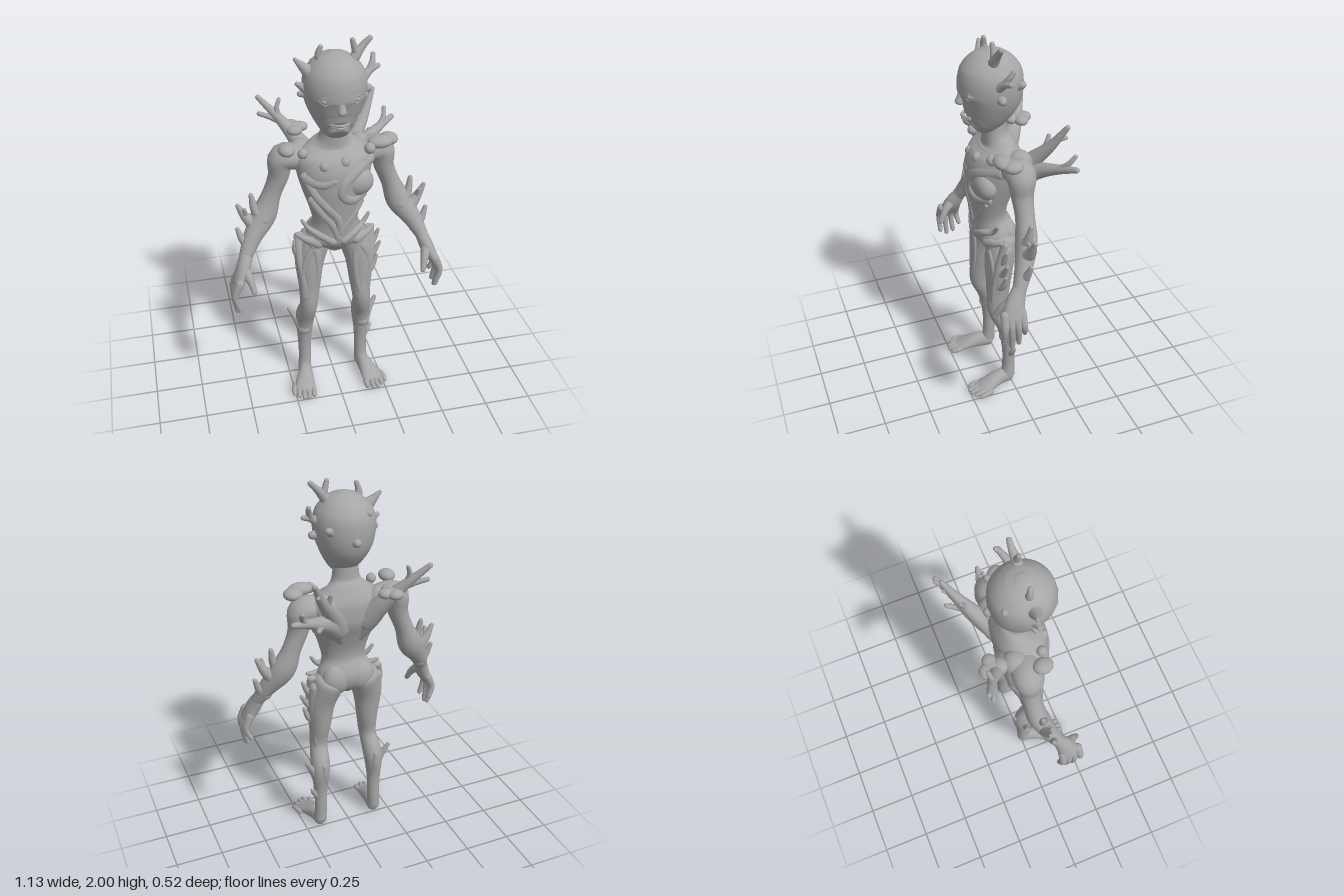
import * as THREE from 'three';

const bark = new THREE.MeshStandardMaterial({ color: 0xa6a6a6 });
bark.name = 'grey bark';
const Y = new THREE.Vector3(0, 1, 0), Z = new THREE.Vector3(0, 0, 1);

// Smooth round-ended limb through sections [x, y, z, radiusA, radiusB]
function limb(name, pts, cap = 1, sides = 20) {
  const path = new THREE.CatmullRomCurve3(pts.map(p => new THREE.Vector3(p[0], p[1], p[2])));
  const size = new THREE.CatmullRomCurve3(pts.map(p => new THREE.Vector3(p[3], p[4] ?? p[3], 0)), false, 'catmullrom', 0.5);
  const chord = path.getPoint(1).sub(path.getPoint(0)).normalize();
  const ref = Math.abs(chord.z) < 0.75 ? Z : Y;
  const pos = [], index = [];
  const ring = (t, shift, scale) => {
    const T = path.getTangent(t), r = size.getPoint(t);
    const a = Math.max(r.x, 0.002), b = Math.max(r.y, 0.002);
    const S = T.clone().cross(ref).normalize(), N = S.clone().cross(T);
    const c = path.getPoint(t).addScaledVector(T, shift * Math.min(a, b) * cap);
    for (let j = 0; j < sides; j++) {
      const u = j / sides * Math.PI * 2;
      const v = c.clone().addScaledVector(S, a * scale * Math.cos(u)).addScaledVector(N, b * scale * Math.sin(u));
      pos.push(v.x, v.y, v.z);
    }
  };
  const steps = (pts.length - 1) * 5;
  for (let k = 0; k < 5; k++) ring(0, -Math.cos(k * Math.PI / 10), Math.sin(k * Math.PI / 10));
  for (let i = 0; i <= steps; i++) ring(i / steps, 0, 1);
  for (let k = 4; k >= 0; k--) ring(1, Math.cos(k * Math.PI / 10), Math.sin(k * Math.PI / 10));
  const rows = pos.length / 3 / sides;
  for (let i = 0; i < rows - 1; i++) for (let j = 0; j < sides; j++) {
    const a = i * sides + j, b = i * sides + (j + 1) % sides;
    index.push(a, a + sides, b, b, a + sides, b + sides);
  }
  const g = new THREE.BufferGeometry();
  g.setAttribute('position', new THREE.Float32BufferAttribute(pos, 3));
  g.setIndex(index);
  g.computeVertexNormals();
  const m = new THREE.Mesh(g, bark);
  m.name = name;
  return m;
}

// Tapered twig through plain points, optionally flattened
const twig = (name, pts, r0, r1, flat = 1) => limb(name, pts.map((p, i) => {
  const r = r1 + (r0 - r1) * (1 - i / (pts.length - 1)) ** 1.3;
  return [...p, r, r * flat];
}), 1, 12);

function knob(name, x, y, z, rx, ry = rx, rz = rx) {
  const m = new THREE.Mesh(new THREE.SphereGeometry(1, 18, 12), bark);
  m.position.set(x, y, z);
  m.scale.set(rx, ry, rz);
  m.name = name;
  return m;
}

// Front depth of a lofted table at x, y
function frontZ(table, x, y) {
  const t = table[0][1] < table[table.length - 1][1] ? table : [...table].reverse();
  let i = 0;
  while (i < t.length - 2 && t[i + 1][1] < y) i++;
  const f = THREE.MathUtils.clamp((y - t[i][1]) / (t[i + 1][1] - t[i][1]), 0, 1);
  const [cx, , cz, rx, rz] = t[i].map((v, k) => v + (t[i + 1][k] - v) * f);
  const d = Math.min(Math.abs(x - cx) / rx, 0.97);
  return cz + rz * Math.sqrt(1 - d * d);
}

const torso = [
  [0, 0.87, 0.045, 0.05, 0.06], [0, 0.91, 0.045, 0.135, 0.09], [0, 0.96, 0.05, 0.152, 0.105], [0, 1.04, 0.067, 0.118, 0.09],
  [0, 1.12, 0.07, 0.132, 0.096], [0, 1.22, 0.06, 0.164, 0.118], [0, 1.32, 0.04, 0.19, 0.135], [0, 1.4, 0.02, 0.195, 0.115],
  [0, 1.45, 0.02, 0.13, 0.085], [0, 1.49, 0.03, 0.077, 0.064], [0, 1.56, 0.035, 0.064, 0.062], [0, 1.64, 0.045, 0.064, 0.067]];
const head = [
  [0, 1.55, 0.137, 0.048, 0.048], [0, 1.57, 0.115, 0.076, 0.083], [0, 1.62, 0.083, 0.111, 0.119], [0, 1.7, 0.057, 0.145, 0.154],
  [0, 1.78, 0.052, 0.155, 0.158], [0, 1.84, 0.052, 0.142, 0.146], [0, 1.885, 0.052, 0.11, 0.113], [0, 1.915, 0.052, 0.07, 0.072],
  [0, 1.928, 0.052, 0.03, 0.031]];
const leg = s => [
  [s * 0.095, 0.92, 0.03, 0.083, 0.086], [s * 0.13, 0.8, 0.052, 0.076, 0.07], [s * 0.137, 0.65, 0.064, 0.058, 0.06],
  [s * 0.146, 0.52, 0.073, 0.047, 0.053], [s * 0.157, 0.4, 0.02, 0.052, 0.058], [s * 0.161, 0.25, 0.014, 0.038, 0.037],
  [s * 0.161, 0.12, 0.014, 0.034, 0.035], [s * 0.165, 0.05, 0.02, 0.036, 0.04]];

export function createModel() {
  const model = new THREE.Group();
  model.name = 'tree creature';
  const add = (...m) => model.add(...m);
  // Flattened root lying on the front of a lofted part
  const root = (name, table, pts, r0, r1) =>
    add(twig(name, pts.map(([x, y]) => [x, y, frontZ(table, x, y) - 0.005]), r0 * 1.2, r1 * 1.2, 0.6));

  add(limb('torso', torso, 0.4, 36), limb('head', head, 0.15, 40));

  // Face
  add(limb('nose', [[0, 1.76, 0.193, 0.016, 0.01], [0, 1.72, 0.2, 0.018, 0.016], [0, 1.69, 0.206, 0.022, 0.024]], 0.7));
  add(limb('upperLip', [[-0.046, 1.615, 0.169, 0.005], [0, 1.618, 0.197, 0.007], [0.046, 1.615, 0.169, 0.005]]));
  add(limb('lowerLip', [[-0.04, 1.606, 0.169, 0.005], [0, 1.602, 0.193, 0.007], [0.04, 1.606, 0.169, 0.005]]));

  for (const s of [-1, 1]) {
    const side = s > 0 ? 'left' : 'right';
    const part = n => side + n;
    const at = pts => pts.map(p => [s * p[0], ...p.slice(1)]);

    // Eye with lids
    add(knob(part('Eye'), s * 0.074, 1.743, 0.178, 0.02, 0.015, 0.017));
    for (const d of [-1, 1]) add(twig(part('Eyelid'), at([[0.048, 1.742, 0.194], [0.074, 1.743 + d * 0.018, 0.187], [0.1, 1.744, 0.168]]), 0.006, 0.006));

    // Arm, palm, fingers
    add(limb(part('Arm'), at([[0.15, 1.375, -0.003, 0.06, 0.075], [0.25, 1.38, -0.01, 0.067, 0.075], [0.272, 1.28, -0.01, 0.052, 0.056],
      [0.31, 1.18, -0.01, 0.048, 0.048], [0.355, 1.07, 0.0, 0.065, 0.054], [0.425, 0.965, 0.04, 0.048, 0.044], [0.472, 0.875, 0.08, 0.033, 0.034]])));
    add(limb(part('Palm'), at([[0.465, 0.89, 0.075, 0.033, 0.034], [0.492, 0.82, 0.108, 0.036, 0.05], [0.522, 0.76, 0.125, 0.028, 0.056]])));
    const tips = [[0.525, 0.655, 0.068], [0.533, 0.608, 0.102], [0.535, 0.595, 0.14], [0.525, 0.625, 0.18]];
    tips.forEach((t, i) => {
      const z = 0.083 + i * 0.029;
      add(twig(part('Finger'), at([[0.517, 0.78, z], [0.545, 0.71, (z + t[2]) / 2 + 0.003], t]), 0.024, 0.013));
    });
    add(twig(part('Thumb'), at([[0.485, 0.835, 0.115], [0.462, 0.79, 0.165], [0.447, 0.735, 0.195]]), 0.03, 0.014));

    // Forearm thorns
    add(twig(part('ArmThorn'), at([[0.36, 1.06, 0.02], [0.4, 1.11, 0.01], [0.415, 1.19, 0.0]]), 0.04, 0.012));
    add(twig(part('ArmThorn'), at([[0.39, 1.01, 0.02], [0.45, 1.075, 0.01], [0.487, 1.145, 0.01]]), 0.046, 0.011));
    add(twig(part('ArmThorn'), at([[0.45, 1.07, 0.01], [0.455, 1.13, 0.03]]), 0.016, 0.009));
    add(twig(part('ArmThorn'), at([[0.44, 0.92, 0.05], [0.476, 0.965, 0.04], [0.497, 1.02, 0.03]]), 0.035, 0.011));

    // Leg, foot, toes
    add(limb(part('Leg'), leg(s), 0.6, 28));
    add(knob(part('Buttock'), s * 0.065, 0.945, 0.0, 0.08, 0.085, 0.058));
    add(limb(part('Foot'), at([[0.163, 0.042, 0.014, 0.036, 0.042], [0.17, 0.046, 0.07, 0.039, 0.046],
      [0.188, 0.03, 0.15, 0.053, 0.029], [0.196, 0.018, 0.2, 0.056, 0.017]]), 0.7));
    [[0.15, 0.235], [0.18, 0.25], [0.206, 0.245], [0.232, 0.228], [0.255, 0.205]].forEach(([x, z], i) =>
      add(twig(part('Toe'), at([[x * 0.75 + 0.05, 0.02, z - 0.06], [x, 0.02, z - 0.025], [x + 0.003, 0.014, z]]), 0.017, i ? 0.012 : 0.014)));

    // Roots winding down the thigh
    const L = leg(s);
    root(part('ThighRoot'), L, at([[0.185, 0.95], [0.185, 0.82], [0.17, 0.68], [0.15, 0.5]]), 0.024, 0.012);
    root(part('ThighRoot'), L, at([[0.13, 0.95], [0.1, 0.83], [0.11, 0.68], [0.14, 0.55]]), 0.02, 0.011);
    root(part('ThighRoot'), L, at([[0.06, 0.95], [0.14, 0.87], [0.175, 0.74], [0.17, 0.6]]), 0.02, 0.012);
    add(twig(part('SideRoot'), at([[0.175, 0.9, 0.03], [0.185, 0.78, 0.04], [0.175, 0.64, 0.05], [0.16, 0.46, 0.035]]), 0.03, 0.014));

    // Hip and thigh thorns
    add(twig(part('HipThorn'), at([[0.03, 0.95, 0.135], [0.09, 0.985, 0.125], [0.14, 1.01, 0.09], [0.173, 1.055, 0.08]]), 0.028, 0.009));
    add(twig(part('HipThorn'), at([[0.1, 0.93, 0.105], [0.16, 0.95, 0.09], [0.2, 0.97, 0.07]]), 0.032, 0.01));
    const thorns = s > 0 ? [[0.87, 0.235], [0.79, 0.245], [0.71, 0.23]] : [[0.86, 0.212]];
    for (const [y, x] of thorns)
      add(twig(part('ThighThorn'), at([[0.165, y - 0.03, 0.07], [0.205, y, 0.06], [x, y + 0.06, 0.055]]), 0.032, 0.009));

    // Calf thorns
    add(twig(part('CalfThorn'), at([[0.165, 0.33, 0.025], [0.2, 0.38, 0.015], [0.243, 0.45, 0.0]]), 0.044, 0.01));
    add(twig(part('CalfThorn'), at([[0.15, 0.31, 0.0], [0.15, 0.37, -0.025], [0.152, 0.425, -0.032]]), 0.03, 0.012));

    // Shoulder blade
    add(limb(part('ShoulderBlade'), at([[0.05, 1.19, -0.012, 0.035], [0.095, 1.3, -0.04, 0.065], [0.15, 1.39, -0.04, 0.066]])));
  }
  add(twig('leftShinThorn', [[0.175, 0.21, 0.01], [0.205, 0.245, 0.005], [0.216, 0.265, 0.0]], 0.024, 0.01));

  // Ribs and roots across the chest
  const chest = (pts, r0, r1) => root('chestRoot', torso, pts, r0, r1);
  add(knob('leftBreastplate', 0.1, 1.27, 0.115, 0.085, 0.075, 0.06));
  chest([[0.18, 1.37], [0.1, 1.345], [0.03, 1.295], [0.015, 1.23], [0.06, 1.19], [0.14, 1.2]], 0.026, 0.02);
  chest([[-0.16, 1.33], [-0.11, 1.23], [-0.05, 1.15], [-0.005, 1.09], [0.01, 1.0]], 0.022, 0.016);
  chest([[-0.13, 1.2], [-0.08, 1.12], [-0.03, 1.05], [0.0, 0.97]], 0.02, 0.015);
  chest([[-0.15, 1.31], [-0.08, 1.29], [-0.02, 1.31]], 0.024, 0.015);
  chest([[0.12, 1.17], [0.08, 1.1], [0.03, 1.03], [0.01, 0.95]], 0.016, 0.013);

  // Buds on chest and shoulders
  add(knob('chestBud', -0.068, 1.38, 0.135, 0.027), knob('chestBud', 0.035, 1.395, 0.135, 0.027));
  add(knob('chestBud', -0.165, 1.44, 0.09, 0.026), knob('chestBud', 0.165, 1.44, 0.105, 0.028));
  add(knob('rightShoulderCap', -0.24, 1.455, 0.065, 0.042, 0.03, 0.05));
  add(knob('leftShoulderCap', 0.225, 1.455, 0.075, 0.065, 0.032, 0.045), knob('leftShoulderCap', 0.275, 1.45, 0.04, 0.05, 0.03, 0.05));
  for (const [x, z] of [[-0.165, -0.12], [-0.17, -0.19], [-0.13, -0.16], [-0.16, -0.155]])
    add(knob('rightBackFungus', x, 1.465, z, 0.04, 0.025, 0.036));

  // Branches growing from the back
  const branch = (pts, r0, r1) => add(twig('backBranch', pts, r0, r1));
  branch([[0.08, 1.27, -0.04], [0.135, 1.38, -0.11], [0.21, 1.49, -0.18], [0.265, 1.6, -0.235]], 0.066, 0.013);
  branch([[0.18, 1.44, -0.15], [0.172, 1.48, -0.17], [0.165, 1.52, -0.185]], 0.02, 0.01);
  branch([[0.235, 1.53, -0.2], [0.25, 1.54, -0.235]], 0.014, 0.01);
  branch([[0.09, 1.27, -0.04], [0.17, 1.34, -0.12], [0.27, 1.39, -0.18], [0.375, 1.43, -0.24]], 0.066, 0.014);
  branch([[0.29, 1.4, -0.19], [0.325, 1.44, -0.22], [0.335, 1.48, -0.25]], 0.018, 0.011);
  branch([[0.2, 1.355, -0.145], [0.235, 1.355, -0.2], [0.25, 1.37, -0.235]], 0.02, 0.011);
  branch([[-0.08, 1.29, -0.04], [-0.15, 1.41, -0.12], [-0.23, 1.51, -0.18], [-0.325, 1.61, -0.235]], 0.066, 0.013);
  branch([[-0.23, 1.51, -0.18], [-0.24, 1.56, -0.19], [-0.225, 1.605, -0.2]], 0.018, 0.01);
  branch([[-0.2, 1.48, -0.165], [-0.26, 1.51, -0.19], [-0.325, 1.53, -0.215]], 0.02, 0.012);

  // Horns and nubs of the head
  const horn = (pts, r0, r1) => add(twig('horn', pts, r0, r1));
  horn([[-0.09, 1.82, 0.07], [-0.14, 1.86, 0.055], [-0.185, 1.905, 0.045]], 0.054, 0.009);
  horn([[-0.06, 1.87, 0.05], [-0.078, 1.92, 0.055], [-0.068, 1.96, 0.06]], 0.026, 0.012);
  horn([[-0.07, 1.82, -0.04], [-0.08, 1.845, -0.06]], 0.026, 0.017);
  horn([[-0.13, 1.76, 0.06], [-0.18, 1.79, 0.06]], 0.03, 0.011);
  horn([[-0.13, 1.735, 0.05], [-0.165, 1.735, 0.05]], 0.026, 0.015);
  horn([[0.07, 1.87, 0.07], [0.105, 1.92, 0.065], [0.135, 1.955, 0.06], [0.165, 1.985, 0.06]], 0.03, 0.013);
  horn([[0.1, 1.915, 0.066], [0.088, 1.955, 0.068], [0.08, 1.985, 0.07]], 0.02, 0.012);
  horn([[0.13, 1.79, 0.06], [0.17, 1.82, 0.045], [0.215, 1.835, 0.03]], 0.028, 0.012);
  horn([[0.17, 1.82, 0.045], [0.19, 1.86, 0.025], [0.195, 1.885, 0.01]], 0.018, 0.012);
  horn([[0.13, 1.735, 0.05], [0.165, 1.735, 0.05]], 0.028, 0.02);
  horn([[0.1, 1.77, -0.04], [0.125, 1.785, -0.06]], 0.026, 0.018);
  horn([[0.0, 1.72, -0.07], [0.0, 1.725, -0.108]], 0.03, 0.022);
  return model;
}
